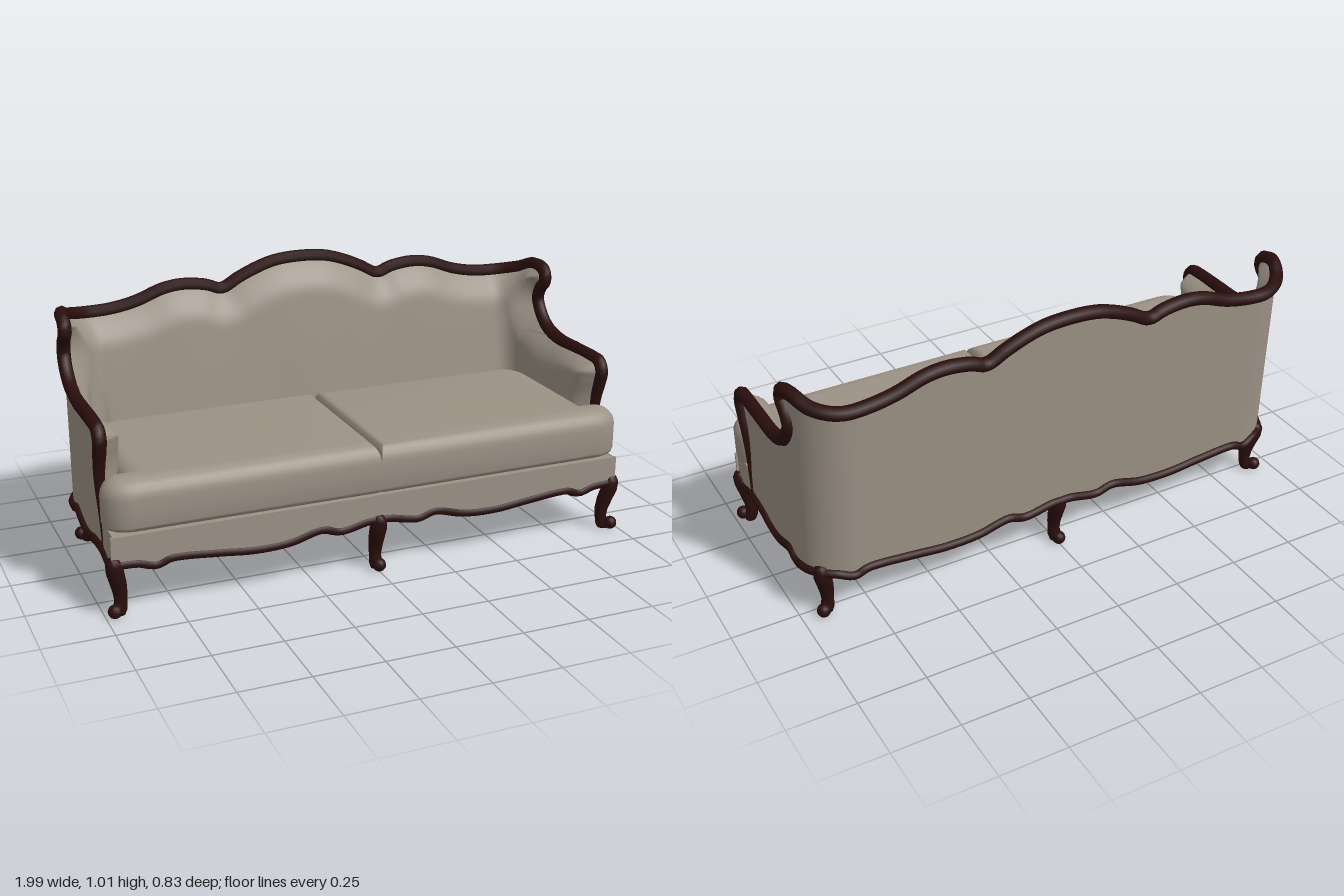
import * as THREE from 'three';
import { toCreasedNormals } from 'three/addons/utils/BufferGeometryUtils.js';

const fabric = new THREE.MeshStandardMaterial({ color: 0x9c9286, side: THREE.DoubleSide });
fabric.name = 'fabric';
const wood = new THREE.MeshStandardMaterial({ color: 0x2a0f0d, side: THREE.DoubleSide });
wood.name = 'darkWood';

// Plan of the shell, measured along the wall from the middle of the back
const BACK = 0.8, CORNER = 0.283, SIDE = BACK + CORNER;
const JOIN = 1.035; // where the wing starts
const PAD = 0.08;

// Point on the wall at distance s, height y, moved inward by off; the back leans
function wall(s, y, off = 0) {
  const a = Math.abs(s);
  let x, z;
  if (a < BACK) {
    x = a; z = -0.39 + off;
  } else if (a < SIDE) {
    const phi = (1 - (a - BACK) / CORNER) * Math.PI / 2;
    x = BACK + (0.165 - off) * Math.cos(phi);
    z = -0.2 - (0.19 - off) * Math.sin(phi);
  } else {
    x = 0.965 - off; z = -0.2 + a - SIDE;
  }
  if (z < -0.2) z = -0.2 + (z + 0.2) * (0.76 + 0.3 * (y - 0.2));
  return new THREE.Vector3(s < 0 ? -x : x, y, z);
}

// Smooth interpolation in a short table of [position, value]
function sample(table, s) {
  const n = table.length;
  const a = Math.min(Math.max(Math.abs(s), table[0][0]), table[n - 1][0]);
  let i = 0;
  while (i < n - 2 && a > table[i + 1][0]) i++;
  const slope = (k) => {
    if (k === 0 || k === n - 1) return 0;
    return (table[k + 1][1] - table[k - 1][1]) / (table[k + 1][0] - table[k - 1][0]);
  };
  const [x0, y0] = table[i], [x1, y1] = table[i + 1];
  const h = x1 - x0, t = (a - x0) / h, t2 = t * t, t3 = t2 * t;
  return (2 * t3 - 3 * t2 + 1) * y0 + (t3 - 2 * t2 + t) * h * slope(i)
    + (3 * t2 - 2 * t3) * y1 + (t3 - t2) * h * slope(i + 1);
}

// Crest of the back and scalloped lower edge
const crest = [[0, 0.987], [0.1, 0.98], [0.18, 0.957], [0.25, 0.927], [0.32, 0.893], [0.38, 0.912],
  [0.47, 0.923], [0.55, 0.913], [0.65, 0.878], [0.75, 0.859], [0.85, 0.857], [0.95, 0.873], [JOIN, 0.9]];
const scallop = [[0, 0.2], [0.04, 0.2], [0.15, 0.18], [0.22, 0.198], [0.34, 0.17], [0.47, 0.165], [0.6, 0.178],
  [0.765, 0.19], [0.82, 0.172], [0.89, 0.19], [1.047, 0.19], [1.103, 0.185], [1.153, 0.2], [1.208, 0.185],
  [1.273, 0.168], [1.343, 0.17], [1.408, 0.185], [1.483, 0.192], [1.543, 0.19], [1.623, 0.172], [1.66, 0.19]];

// Front edge of arm and wing as (z, y), turned into (s, y)
const edge = new THREE.CatmullRomCurve3([
  [0.247, 0.19], [0.242, 0.3], [0.233, 0.41], [0.24, 0.49], [0.26, 0.56], [0.268, 0.6], [0.247, 0.632],
  [0.2, 0.638], [0.08, 0.639], [-0.05, 0.641], [-0.137, 0.663], [-0.196, 0.71], [-0.226, 0.765],
  [-0.21, 0.81], [-0.177, 0.845], [-0.183, 0.88], [-0.218, 0.896], [-0.25, 0.9],
].map(([z, y]) => {
  const s = z > -0.2 ? SIDE + z + 0.2
    : BACK + CORNER * (1 - Math.asin((-0.2 - z) / 0.19) / (Math.PI / 2));
  return new THREE.Vector3(s, y, 0);
}), false, 'centripetal').getPoints(150);

// Padding depth: rounded off toward the rim, tighter on the arms, growing down the back
const rim = edge.concat(Array.from({ length: 100 }, (_, i) => {
  const s = JOIN * i / 100;
  return new THREE.Vector3(s, sample(crest, s), 0);
}));
function padding(s, y) {
  const a = Math.abs(s);
  let d = 1;
  for (const p of rim) d = Math.min(d, Math.hypot(p.x - a, p.y - y));
  const rounding = 0.13 - 0.07 * THREE.MathUtils.smoothstep(a, SIDE + 0.1, SIDE + 0.4);
  const r = 1 - Math.min(1, d / rounding);
  const onBack = 1 - THREE.MathUtils.smoothstep(a, 0.75, SIDE + 0.05);
  return PAD * (1 - r * r) + onBack * 0.12 * Math.max(0, d - 0.06);
}

function add(parent, name, geometry, material) {
  const mesh = new THREE.Mesh(geometry, material);
  mesh.name = name;
  parent.add(mesh);
  return mesh;
}

// Surface through a grid of points
function grid(rows, cols, point) {
  const pos = [], index = [];
  for (let j = 0; j <= rows; j++) {
    for (let i = 0; i <= cols; i++) {
      pos.push(...point(i / cols, j / rows, j).toArray());
      if (i < cols && j < rows) {
        const a = j * (cols + 1) + i, b = a + cols + 1;
        index.push(a, a + 1, b, b, a + 1, b + 1);
      }
    }
  }
  const g = new THREE.BufferGeometry();
  g.setAttribute('position', new THREE.Float32BufferAttribute(pos, 3));
  g.setIndex(index);
  g.computeVertexNormals();
  return g;
}

function backPanel(inner) {
  return grid(36, 120, (u, v) => {
    const s = (2 * u - 1) * JOIN, low = inner ? 0.3 : sample(scallop, s);
    const y = THREE.MathUtils.lerp(low, sample(crest, s), 1 - (1 - v) ** 2);
    return wall(s, y, inner ? padding(s, y) : 0);
  });
}

function armPanel(side, inner) {
  const rows = [];
  for (const p of edge) {
    if (inner && p.y < 0.3) continue;
    if (!rows.length || p.y - rows.at(-1).y > (rows.length === 1 ? 0.03 : 0.003)) rows.push(p);
  }
  return grid(rows.length - 1, 28, (u, v, j) => {
    const s = THREE.MathUtils.lerp(JOIN, rows[j].x, 1 - (1 - u) ** 2);
    const y = !inner && j === 0 ? sample(scallop, s) : rows[j].y;
    return wall(side * s, y, inner ? padding(s, y) : 0);
  });
}

// Round moulding; radius may depend on height
function tube(points, segments, radius, scaleAt = () => 1) {
  const path = new THREE.CatmullRomCurve3(points, false, 'centripetal');
  const g = new THREE.TubeGeometry(path, segments, radius, 8);
  const p = g.attributes.position, v = new THREE.Vector3();
  for (let i = 0; i < p.count; i++) {
    const c = path.getPointAt(Math.floor(i / 9) / segments);
    v.fromBufferAttribute(p, i).sub(c).multiplyScalar(scaleAt(c.y)).add(c);
    p.setXYZ(i, v.x, v.y, v.z);
  }
  return g;
}

// Curved leg with a scrolled toe, facing local +x
function leg(parent, name, x, z, angle) {
  const group = new THREE.Group();
  group.name = name;
  const rings = [[0.001, 0.002, -0.022], [0.02, 0.004, -0.022], [0.025, 0.02, -0.025], [0.022, 0.05, -0.032],
    [0.025, 0.08, -0.03], [0.029, 0.12, -0.02], [0.031, 0.16, -0.006], [0.029, 0.195, 0],
    [0.02, 0.215, 0], [0.001, 0.22, 0]];
  const g = new THREE.LatheGeometry(rings.map(([r, y]) => new THREE.Vector2(r, y)), 12);
  const p = g.attributes.position;
  for (let i = 0; i < p.count; i++) p.setX(i, p.getX(i) + rings[i % rings.length][2]);
  g.computeVertexNormals();
  add(group, 'legShaft', g, wood);
  add(group, 'legToe', new THREE.SphereGeometry(0.025, 12, 8), wood).position.set(0.007, 0.025, 0);
  group.position.set(x, 0, z);
  group.rotation.y = angle;
  parent.add(group);
}

// Seat cushion that widens in front of the arm: soft on top, squarer below
function cushion() {
  const s = new THREE.Shape();
  s.moveTo(0.07, 0.205);
  s.lineTo(0.78, 0.205);
  s.quadraticCurveTo(0.835, 0.205, 0.835, 0.14);
  s.lineTo(0.835, -0.31);
  s.lineTo(0.91, -0.31);
  s.quadraticCurveTo(0.92, -0.31, 0.92, -0.318);
  s.quadraticCurveTo(0.92, -0.333, 0.88, -0.335);
  s.lineTo(0.07, -0.338);
  s.closePath();
  const g = new THREE.ExtrudeGeometry(s, { depth: 0.06, bevelThickness: 0.065, bevelSize: 0.065, bevelSegments: 6, curveSegments: 6 });
  g.rotateX(-Math.PI / 2).translate(0, 0.36, 0);
  const p = g.attributes.position;
  for (let i = 0; i < p.count; i++) {
    const x = p.getX(i), y = p.getY(i);
    if (x < 0.0701) p.setX(i, (x - 0.005) * 0.5);
    if (y < 0.3601) p.setY(i, 0.325 + (y - 0.36) * 0.46);
  }
  return toCreasedNormals(g, 0.9);
}

export function createModel() {
  const sofa = new THREE.Group();
  sofa.name = 'sofa';

  // Upholstered shell
  add(sofa, 'backOuter', backPanel(false), fabric);
  add(sofa, 'backPadding', backPanel(true), fabric);
  for (const side of [1, -1]) {
    const label = side > 0 ? 'left' : 'right';
    add(sofa, label + 'ArmOuter', armPanel(side, false), fabric);
    add(sofa, label + 'ArmPadding', armPanel(side, true), fabric);
    add(sofa, label + 'SeatCushion', cushion(), fabric).scale.x = side;
    // Short side of the apron, between arm and front leg
    add(sofa, label + 'ApronSide', grid(1, 12, (u, v) => {
      const z = 0.24 + 0.147 * u;
      return new THREE.Vector3(side * 0.968, v ? 0.295 : sample(scallop, SIDE + 0.2 + z), z);
    }), fabric);
  }

  // Seat board under the cushion front, and the scalloped apron
  add(sofa, 'seatBoard', new THREE.BoxGeometry(1.93, 0.015, 0.14), fabric).position.set(0, 0.287, 0.31);
  const apron = new THREE.Shape();
  apron.moveTo(-0.975, 0.2955);
  const frontXs = Array.from({ length: 81 }, (_, i) => -0.975 + 1.95 * i / 80);
  for (const x of frontXs) apron.lineTo(x, sample(scallop, x));
  apron.lineTo(0.975, 0.2955);
  add(sofa, 'frontApron', new THREE.ExtrudeGeometry(apron, { depth: 0.01, bevelEnabled: false }), fabric).position.z = 0.378;

  // Carved rail running up one arm, over the back and down the other arm, slim at the seat
  const rail = [];
  for (const p of edge) rail.push(wall(-p.x, p.y));
  for (let i = 1; i < 80; i++) {
    const s = JOIN * (i / 40 - 1);
    rail.push(wall(s, sample(crest, s)));
  }
  for (const p of [...edge].reverse()) rail.push(wall(p.x, p.y));
  const slimming = (y) => 0.25 + 0.75 * THREE.MathUtils.smoothstep(y, 0.2, 0.6);
  add(sofa, 'carvedRail', tube(rail, 320, 0.025, slimming), wood);

  // Scalloped trim along the lower edge
  add(sofa, 'frontTrim', tube(frontXs.map((x) => new THREE.Vector3(x, sample(scallop, x), 0.38)), 120, 0.017), wood);
  const around = Array.from({ length: 161 }, (_, i) => {
    const s = 1.65 * (i / 80 - 1);
    return wall(s, sample(scallop, s));
  });
  add(sofa, 'sideAndBackTrim', tube(around, 240, 0.017), wood);

  // Legs
  leg(sofa, 'frontLeftLeg', 0.965, 0.377, -Math.PI / 4);
  leg(sofa, 'frontRightLeg', -0.965, 0.377, -Math.PI * 3 / 4);
  leg(sofa, 'frontMiddleLeg', 0, 0.38, -Math.PI / 2);
  leg(sofa, 'backLeftLeg', 0.92, -0.292, Math.PI / 4);
  leg(sofa, 'backRightLeg', -0.92, -0.292, Math.PI * 3 / 4);
  leg(sofa, 'backMiddleLeg', 0, -0.33, Math.PI / 2);
  return sofa;
}
